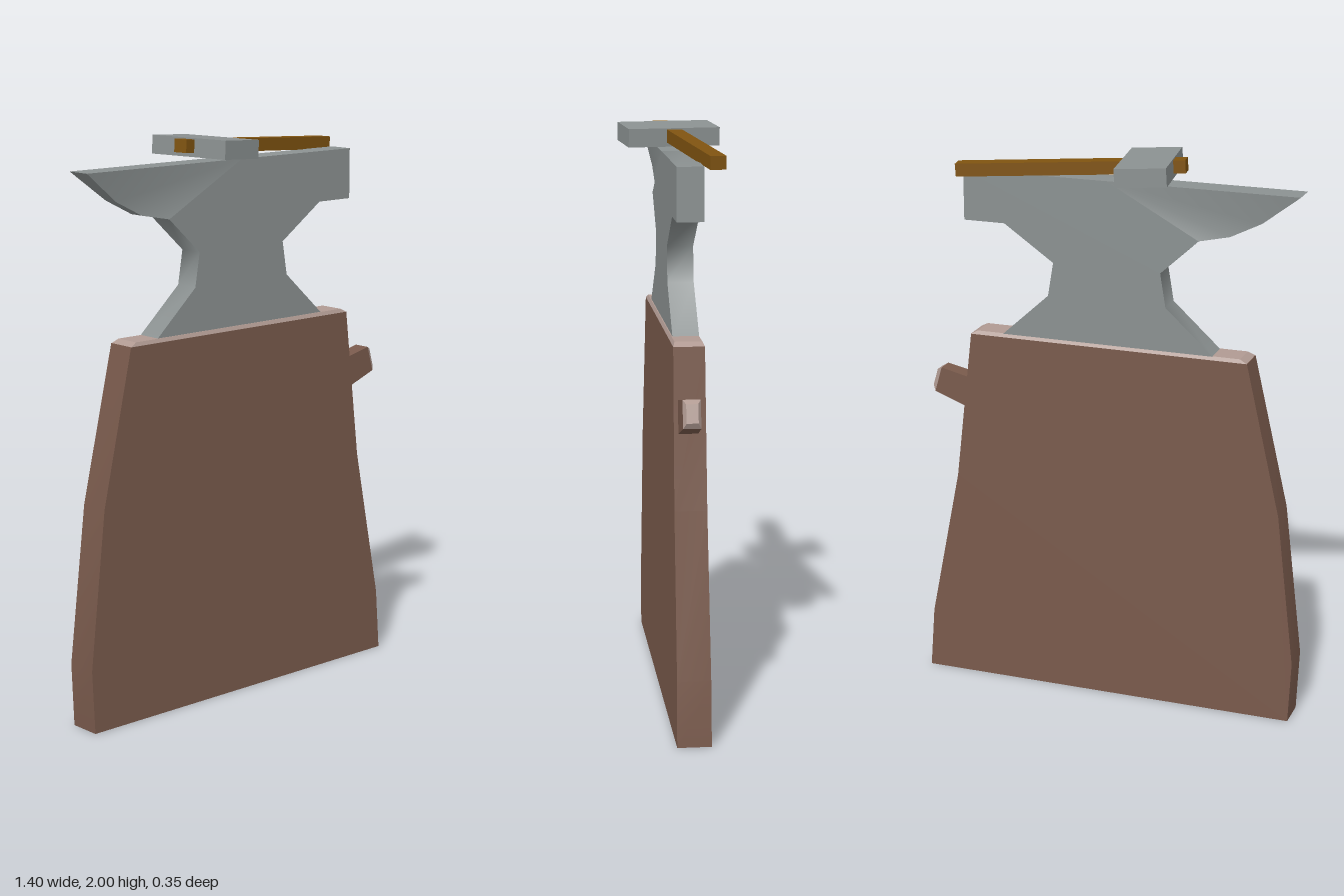
import * as THREE from 'three';
import { toCreasedNormals } from 'three/addons/utils/BufferGeometryUtils.js';

const Z_MID = -0.01;

function material(name, color) {
  const m = new THREE.MeshStandardMaterial({ color });
  m.name = name;
  return m;
}

// Move every vertex by a rule that edits the vector in place
function reshape(geometry, rule) {
  const pos = geometry.attributes.position;
  const v = new THREE.Vector3();
  for (let i = 0; i < pos.count; i++) {
    v.fromBufferAttribute(pos, i);
    rule(v);
    pos.setXYZ(i, v.x, v.y, v.z);
  }
  return geometry;
}

// Flat slab from an outline, centred on z = 0
function slab(points, depth, rule = () => {}) {
  const shape = new THREE.Shape(points.map(([x, y]) => new THREE.Vector2(x, y)));
  const g = new THREE.ExtrudeGeometry(shape, { depth, bevelEnabled: false });
  g.translate(0, 0, -depth / 2);
  return toCreasedNormals(reshape(g, rule), 1.2);
}

// Box with moved corners and hard edges
function shapedBox(w, h, d, rule) {
  const g = reshape(new THREE.BoxGeometry(w, h, d).toNonIndexed(), rule);
  g.computeVertexNormals();
  return g;
}

export function createModel() {
  const root = new THREE.Group();
  root.name = 'anvilOnStump';

  const bark = material('bark brown', 0x795a4c);
  const cutWood = material('pale cut wood', 0xb09a92);
  const iron = material('iron grey', 0x8b9191);
  const handleWood = material('handle wood', 0x7f5310);

  const add = (parent, name, geometry, mat, x = 0, y = 0, z = 0) => {
    const mesh = new THREE.Mesh(geometry, mat);
    mesh.name = name;
    mesh.position.set(x, y, z);
    parent.add(mesh);
    return mesh;
  };

  // Stump, slightly thinner towards the top
  add(root, 'stump', slab([
    [-0.69, 0], [0.697, 0], [0.68, 0.225], [0.57, 0.78], [0.507, 1.322],
    [-0.51, 1.322], [-0.635, 0.78], [-0.7, 0.225],
  ], 0.116, (v) => { v.z *= 1 - 0.07 * v.y; }), bark, 0, 0, Z_MID + 0.002);

  // Bevelled cut face on top of the stump
  add(root, 'stumpTop', shapedBox(1.017, 0.013, 0.105, (v) => {
    if (v.y > 0) { v.x *= 0.95; v.z *= 0.88; }
  }), cutWood, 0, 1.3285, Z_MID + 0.002);

  // Branch stub with its cut end
  const branch = new THREE.Group();
  branch.name = 'branchStub';
  branch.position.set(0.48, 1.077, Z_MID + 0.008);
  branch.rotation.z = 0.28;
  root.add(branch);
  add(branch, 'branchBark', shapedBox(0.178, 0.118, 0.068, (v) => {
    if (v.x > 0) { v.y *= 0.81; v.z *= 0.88; }
  }), bark, 0.089);
  add(branch, 'branchCutEnd', shapedBox(0.016, 0.0956, 0.06, (v) => {
    if (v.x > 0) { v.y *= 0.66; v.z *= 0.66; }
  }), cutWood, 0.186);

  // Anvil body and horn
  const anvil = new THREE.Group();
  anvil.name = 'anvil';
  anvil.position.z = Z_MID;
  root.add(anvil);
  add(anvil, 'anvilBody', slab([
    [-0.39, 1.33], [0.39, 1.33], [0.215, 1.49], [0.195, 1.61], [0.375, 1.735],
    [0.525, 1.735], [0.525, 1.915], [0, 1.915], [-0.33, 1.735],
    [-0.195, 1.61], [-0.215, 1.49],
  ], 0.09), iron);
  // Underside of the horn is narrower than its top
  add(anvil, 'anvilHorn', slab([
    [0, 1.915], [-0.68, 1.915], [-0.545, 1.81], [-0.435, 1.755], [-0.33, 1.735],
  ], 0.09, (v) => {
    if (v.x < -0.4 && v.y < 1.9) v.z *= 0.6;
  }), iron);

  // Hammer lying across the anvil
  const hammer = new THREE.Group();
  hammer.name = 'hammer';
  hammer.position.set(0.132, 1.951, -0.042);
  hammer.rotation.set(0, 0.146, -0.061, 'YZX');
  root.add(hammer);
  add(hammer, 'hammerHandle', new THREE.BoxGeometry(0.8, 0.045, 0.053), handleWood);
  add(hammer, 'hammerHead', new THREE.BoxGeometry(0.177, 0.064, 0.325), iron, -0.27, -0.005, 0);

  return root;
}
